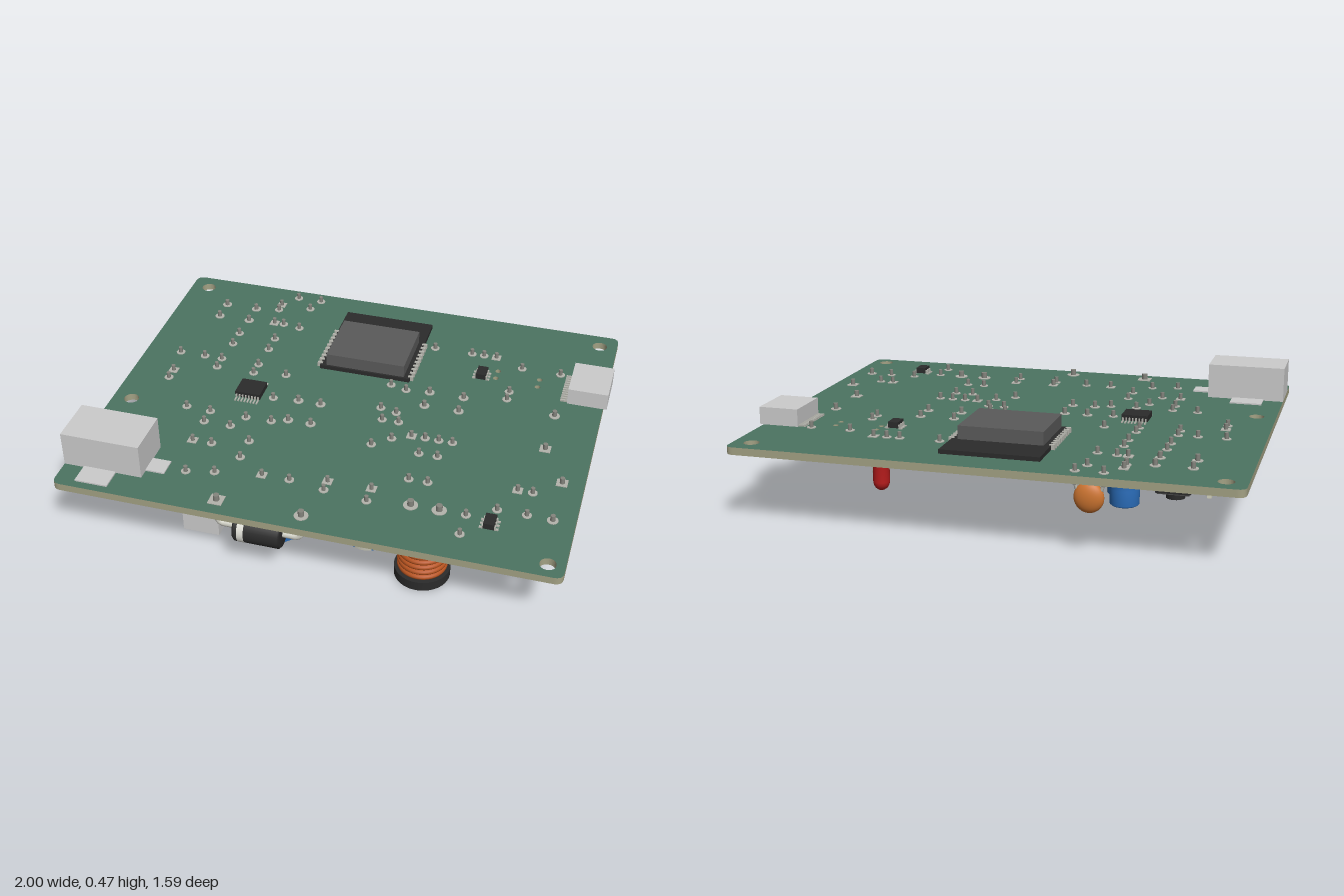
import * as THREE from 'three';

const TOP = 0.32, BOT = 0.29;
const mats = {};
const mat = (c) => (mats[c] ??= new THREE.MeshStandardMaterial({ color: c, side: THREE.DoubleSide }));
const GREY = 0xcccccc, BLACK = 0x2b2b2b, TIN = 0xb4b4ac, CREAM = 0xd6d5c0, BLUE = 0x2a6cb8,
  ORANGE = 0xcc7430, COPPER = 0xb85420, TAN = 0xd9b27c;

export function createModel() {
  const root = new THREE.Group();
  root.name = 'circuitBoard';

  const add = (name, geo, color, x = 0, y = 0, z = 0, parent = root) => {
    const m = new THREE.Mesh(geo, mat(color));
    m.name = name;
    m.position.set(x, y, z);
    parent.add(m);
    return m;
  };
  const group = (name, x = 0, z = 0, turn = 0) => {
    const g = new THREE.Group();
    g.name = name;
    g.position.set(x, 0, z);
    g.rotation.y = turn;
    root.add(g);
    return g;
  };
  // box given by its x, y and z ranges
  const box = (name, color, x0, x1, y0, y1, z0, z1, parent = root) =>
    add(name, new THREE.BoxGeometry(x1 - x0, y1 - y0, z1 - z0), color, (x0 + x1) / 2, (y0 + y1) / 2, (z0 + z1) / 2, parent);
  // upright cylinder between two heights
  const post = (name, color, r, y0, y1, x, z, parent = root, sides = 24) =>
    add(name, new THREE.CylinderGeometry(r, r, y1 - y0, sides), color, x, (y0 + y1) / 2, z, parent);
  const lathe = (pts, n = 32) => new THREE.LatheGeometry(pts.map((p) => new THREE.Vector2(...p)), n);

  // solder pad with the pin end standing out of the top face
  const pad = (x, z, r = 0.019, square = false) => {
    if (square) box('solderPad', TIN, x - r, x + r, TOP, TOP + 0.003, z - r, z + r);
    else post('solderPad', TIN, r, TOP, TOP + 0.003, x, z, root, 20);
    post('pinEnd', 0x85857e, r * 0.45, BOT - 0.02, 0.347, x, z, root, 8);
  };

  // ---- board with rounded corners and drilled holes
  const s = new THREE.Shape(), [l, r, b, t, c] = [-1, 0.985, -0.79, 0.8, 0.035];
  s.moveTo(l + c, b).lineTo(r - c, b).quadraticCurveTo(r, b, r, b + c).lineTo(r, t - c).quadraticCurveTo(r, t, r - c, t)
    .lineTo(l + c, t).quadraticCurveTo(l, t, l, t - c).lineTo(l, b + c).quadraticCurveTo(l, b, l + c, b);
  const drill = (x, z, rad) => s.holes.push(new THREE.Path().absarc(x, -z, rad, 0, Math.PI * 2, true));
  [[-0.92, -0.72], [0.91, -0.72], [-0.92, 0.195], [0.92, 0.725]].forEach(([x, z]) => drill(x, z, 0.031));
  [[0.516, -0.414], [0.516, -0.36], [0.698, -0.398], [0.698, -0.345]].forEach(([x, z]) => drill(x, z, 0.012));
  const boardGeo = new THREE.ExtrudeGeometry(s, { depth: TOP - BOT, bevelEnabled: false, curveSegments: 16 });
  boardGeo.rotateX(-Math.PI / 2);
  const board = add('board', boardGeo, 0x4c7462, 0, BOT, 0);
  board.material = [mat(0x4c7462), mat(0xa3a184)];

  // ---- parts on the top face
  box('powerJack', GREY, -1, -0.677, TOP, 0.465, 0.47, 0.668);
  box('jackSideTabs', GREY, -0.917, -0.783, TOP, TOP + 0.006, 0.385, 0.757);
  box('jackEndTab', GREY, -0.677, -0.6, TOP, TOP + 0.006, 0.548, 0.625);
  box('dataSocket', GREY, 0.835, 1, TOP, 0.392, -0.463, -0.262);
  for (let i = 0; i < 12; i++) {
    const z = -0.45 + i * 0.016;
    box('socketPin', TIN, 0.805, 0.84, TOP, TOP + 0.008, z - 0.004, z + 0.004);
  }
  box('radioModuleBase', BLACK, -0.227, 0.168, TOP, 0.337, -0.666, -0.229);
  box('radioModuleShield', 0x5a5a5a, -0.2, 0.142, 0.337, 0.391, -0.514, -0.238);
  for (const x of [-0.23, 0.171]) for (let i = 0; i < 10; i++) {
    const z = -0.5 + i * 0.028;
    box('modulePin', TIN, x - 0.011, x + 0.011, TOP, 0.34, z - 0.006, z + 0.006);
  }

  // chip with pins along its two long sides; pins run along local x
  const chip = (x, z, w, d, n, pitch, reach, turn) => {
    const g = group('chip', x, z, turn);
    box('chipBody', BLACK, -w / 2, w / 2, 0.325, 0.349, -d / 2, d / 2, g);
    for (const e of [-1, 1]) for (let i = 0; i < n; i++) {
      const px = (i - (n - 1) / 2) * pitch, k = pitch * 0.22;
      const q = e * d / 2, f = e * (d / 2 + reach);
      box('chipFoot', TIN, px - k, px + k, TOP, 0.325, Math.min(q, f), Math.max(q, f), g);
      box('chipShoulder', TIN, px - k, px + k, 0.325, 0.338, q - 0.006, q + 0.006, g);
    }
  };
  chip(-0.452, 0.019, 0.108, 0.097, 8, 0.0135, 0.027, 0);
  chip(0.455, -0.36, 0.064, 0.042, 3, 0.022, 0.016, Math.PI / 2);
  chip(0.677, 0.573, 0.064, 0.042, 3, 0.022, 0.016, Math.PI / 2);

  // ---- electrolytic capacitors: can, end cap, stripe; axis from pad 1 to pad 2
  const can = (x, z, rad, bottom, gap, turn) => {
    const g = group('capacitor', x, z, turn);
    const y1 = BOT - 0.004, k = rad * 0.1;
    add('can', lathe([[0, bottom + 0.005], [rad * 0.82, bottom + 0.005], [rad * 0.86, bottom], [rad - k, bottom], [rad, bottom + k],
      [rad, y1 - 0.045], [rad * 0.94, y1 - 0.035], [rad, y1 - 0.025], [rad, y1 - k], [rad - k, y1], [0, y1]], 40), BLUE, 0, 0, 0, g);
    post('endPlate', 0x9a9a9a, rad * 0.8, bottom + 0.002, bottom + 0.008, 0, 0, g);
    for (const a of [0.78, -0.78]) box('ventLine', 0x5c5c5c, -rad * 0.75, rad * 0.75, bottom, bottom + 0.004, -0.003, 0.003, g).rotation.y = a;
    const h = y1 - 0.05 - bottom - k;
    add('stripe', new THREE.CylinderGeometry(rad + 0.001, rad + 0.001, h, 10, 1, true, Math.PI / 2 - 0.4, 0.8), 0xc2c2b4, 0, bottom + k + h / 2, 0, g);
    const dx = Math.cos(turn) * gap / 2, dz = -Math.sin(turn) * gap / 2;
    pad(x - dx, z - dz, 0.019, true);
    pad(x + dx, z + dz);
  };
  const toFront = -Math.PI / 2;
  can(-0.176, 0.527, 0.107, 0.068, 0.112, 0);
  can(0.2, 0.53, 0.088, 0.107, 0.075, toFront);
  can(0.025, 0.522, 0.068, 0.147, 0.054, toFront);
  can(-0.53, 0.393, 0.086, 0.112, 0.08, 0);
  can(0.77, 0.35, 0.068, 0.155, 0.058, 0);
  can(-0.505, -0.512, 0.055, 0.175, 0.043, 0);
  can(-0.542, -0.643, 0.055, 0.178, 0.043, toFront);

  // ---- ceramic disc capacitors, flat side across the line of their two legs
  const disc = (x0, z0, x1, z1) => {
    const g = group('ceramicDisc', (x0 + x1) / 2, (z0 + z1) / 2, -Math.atan2(z1 - z0, x1 - x0));
    add('discBody', new THREE.SphereGeometry(1, 28, 18), ORANGE, 0, 0.225, 0, g).scale.set(0.057, 0.059, 0.028);
    const h = Math.hypot(x1 - x0, z1 - z0) / 2;
    for (const e of [-1, 1]) add('leg', new THREE.TubeGeometry(new THREE.QuadraticBezierCurve3(
      new THREE.Vector3(e * 0.03, 0.235, 0), new THREE.Vector3(e * h, 0.25, 0), new THREE.Vector3(e * h, 0.3, 0)), 8, 0.007, 8), TIN, 0, 0, 0, g);
    pad(x0, z0);
    pad(x1, z1);
  };
  [[0.58, 0.545, 0.58, 0.655], [0.687, 0.484, 0.8, 0.484], [-0.484, -0.74, -0.377, -0.74], [-0.57, 0.265, -0.457, 0.265],
    [-0.676, 0.187, -0.57, 0.193], [-0.415, 0.193, -0.307, 0.19], [-0.847, -0.18, -0.735, -0.18],
    [-0.35, 0.34, -0.35, 0.446], [0.195, 0.056, 0.195, 0.168]].forEach((p) => disc(...p));

  // ---- resistor and diode bodies, lying along local y
  const resistorBody = (g) => {
    add('resistorBody', lathe([[0, -0.062], [0.018, -0.06], [0.026, -0.05], [0.026, -0.036], [0.02, -0.026],
      [0.02, 0.026], [0.026, 0.036], [0.026, 0.05], [0.018, 0.06], [0, 0.062]], 20), TAN, 0, 0, 0, g);
    [[-0.018, 0x6b3a1c], [0, BLACK], [0.016, 0xa8602c]].forEach(([y, col]) =>
      add('colourBand', new THREE.CylinderGeometry(0.021, 0.021, 0.006, 20), col, 0, y, 0, g));
  };
  const diodeBody = (rad, len) => (g) => {
    const e = len / 2, k = rad * 0.12;
    add('diodeBody', lathe([[0, -e], [rad - k, -e], [rad, k - e], [rad, e - k], [rad - k, e], [0, e]]), BLACK, 0, 0, 0, g);
    add('diodeBand', new THREE.CylinderGeometry(rad + 0.001, rad + 0.001, len * 0.14, 32), 0xdcdcd4, 0, len * 0.32, 0, g);
  };
  // part lying under the board with bent leads; band end at the first pad
  const axial = (name, body, x0, z0, x1, z1, y, wire, padR = 0.019, square = false) => {
    const g = group(name, (x0 + x1) / 2, (z0 + z1) / 2, -Math.atan2(z1 - z0, x1 - x0));
    const inner = new THREE.Group();
    inner.position.y = y;
    inner.rotation.z = Math.PI / 2;
    g.add(inner);
    body(inner);
    const h = Math.hypot(x1 - x0, z1 - z0) / 2, k = Math.min(0.03, BOT - y);
    for (const e of [-1, 1]) {
      const v = (x, yy) => new THREE.Vector3(e * x, yy, 0), path = new THREE.CurvePath();
      path.add(new THREE.LineCurve3(v(0.03, y), v(h - k, y)));
      path.add(new THREE.QuadraticBezierCurve3(v(h - k, y), v(h, y), v(h, y + k)));
      path.add(new THREE.LineCurve3(v(h, y + k), v(h, 0.31)));
      add('lead', new THREE.TubeGeometry(path, 24, wire, 8), 0xcfcfc4, 0, 0, 0, g);
    }
    pad(x0, z0, padR, square);
    pad(x1, z1, padR);
  };
  [[-0.65, -0.388, -0.484, -0.388], [-0.65, -0.302, -0.484, -0.302], [-0.657, -0.18, -0.489, -0.18], [-0.655, -0.115, -0.489, -0.115],
    [0.217, -0.51, 0.382, -0.51], [0.612, -0.457, 0.778, -0.457], [-0.406, -0.666, -0.406, -0.5], [-0.35, -0.136, -0.35, 0.035],
    [0.1, -0.19, 0.1, -0.02], [0.17, -0.17, 0.17, -0.003], [0.126, 0.056, 0.126, 0.227], [0.323, 0.233, 0.323, 0.398],
    [0.398, 0.233, 0.398, 0.398]].forEach((p) => axial('resistor', resistorBody, ...p, 0.257, 0.007));
  axial('largeDiode', diodeBody(0.06, 0.19), -0.35, 0.715, -0.013, 0.715, 0.213, 0.014, 0.028, true);
  axial('smallDiode', diodeBody(0.031, 0.11), 0.8, 0.067, 0.8, -0.16, 0.243, 0.011, 0.022, true);
  axial('smallDiode', diodeBody(0.031, 0.11), 0.898, 0.26, 0.898, 0.487, 0.243, 0.011, 0.022, true);

  // ---- standing resistor with its looped wire
  const stand = group('standingResistor', 0.59, -0.275);
  const upright = new THREE.Group();
  upright.position.y = 0.193;
  stand.add(upright);
  resistorBody(upright);
  post('upperLead', TIN, 0.007, 0.25, 0.3, 0, 0, stand, 8);
  add('wireLoop', new THREE.TubeGeometry(new THREE.CatmullRomCurve3([[0.14, 0], [0.1, 0], [0.082, 0.014], [0.082, 0.04], [0.1, 0.055], [0.3, 0.055]]
    .map(([y, z]) => new THREE.Vector3(0, y, z)), false, 'centripetal'), 32, 0.007, 8), CREAM, 0, 0, 0, stand);
  pad(0.59, -0.275);
  pad(0.59, -0.22);

  // ---- wound inductor
  const coil = group('inductor', 0.422, 0.55);
  post('lowerFlange', BLACK, 0.11, 0, 0.04, 0, 0, coil, 48);
  post('upperFlange', BLACK, 0.11, 0.24, 0.284, 0, 0, coil, 48);
  post('windingCore', COPPER, 0.088, 0.04, 0.24, 0, 0, coil, 40);
  for (let i = 0; i < 8; i++) {
    const ring = new THREE.TorusGeometry(0.087, 0.0125, 10, 40).rotateX(Math.PI / 2);
    add('winding', ring, COPPER, 0, 0.0525 + i * 0.025, 0, coil);
  }
  pad(0.367, 0.545, 0.029);
  pad(0.478, 0.545, 0.029);

  // ---- box-shaped component
  box('filmBlock', GREY, -0.545, -0.395, 0.04, BOT, 0.535, 0.61);
  pad(-0.525, 0.585);
  pad(-0.415, 0.56);

  // ---- pin headers with a locking plate behind the pins
  const header = (x, z, n, turn) => {
    const g = group('pinHeader', x, z, turn), w = n * 0.0565 / 2;
    box('headerBase', CREAM, -w, w, 0.21, BOT, -0.065, 0.06, g);
    box('lockPlate', CREAM, 0.014 - w, w - 0.014, 0.06, 0.22, -0.065, -0.043, g);
    box('lockTip', CREAM, 0.022 - w, w - 0.022, 0.03, 0.06, -0.065, -0.047, g);
    for (let i = 0; i < n; i++) {
      const px = (i - (n - 1) / 2) * 0.056;
      box('headerPin', CREAM, px - 0.006, px + 0.006, 0.05, 0.22, -0.006, 0.006, g);
      pad(x + Math.cos(turn) * px, z - Math.sin(turn) * px, 0.019, i === 0);
    }
  };
  header(0.352, 0.13, 4, 0);
  header(-0.826, -0.016, 2, -Math.PI / 2);

  // ---- push buttons
  for (const [x, z, w, d] of [[0.342, -0.132, 0.145, 0.097], [-0.195, 0.094, 0.096, 0.139], [-0.714, -0.55, 0.14, 0.1]]) {
    const g = group('pushButton', x, z);
    box('buttonHousing', BLACK, -0.065, 0.065, 0.222, BOT - 0.003, -0.065, 0.065, g);
    box('buttonPlate', 0x4a4a4a, -0.06, 0.06, 0.217, 0.222, -0.06, 0.06, g);
    post('buttonCap', BLACK, 0.036, 0.19, 0.22, 0, 0, g);
    for (const i of [-1, 1]) for (const j of [-1, 1]) {
      pad(x + i * w / 2, z + j * d / 2, 0.021);
      box('buttonLeg', TIN, i * w / 2 - 0.008, i * w / 2 + 0.008, 0.25, 0.3, j * d / 2 - 0.008, j * d / 2 + 0.008, g);
    }
  }

  // ---- indicator lamp
  add('indicatorLamp', lathe([[0, 0.103], [0.013, 0.106], [0.024, 0.114], [0.031, 0.127], [0.033, 0.14],
    [0.033, 0.205], [0.039, 0.206], [0.039, 0.22], [0, 0.22]]), 0xb81c1c, 0.462, 0, -0.51);
  for (const x of [0.44, 0.484]) post('lampLeg', TIN, 0.007, 0.215, 0.3, x, -0.51, root, 8);
  pad(0.435, -0.51);
  pad(0.49, -0.51, 0.019, true);

  return root;
}
